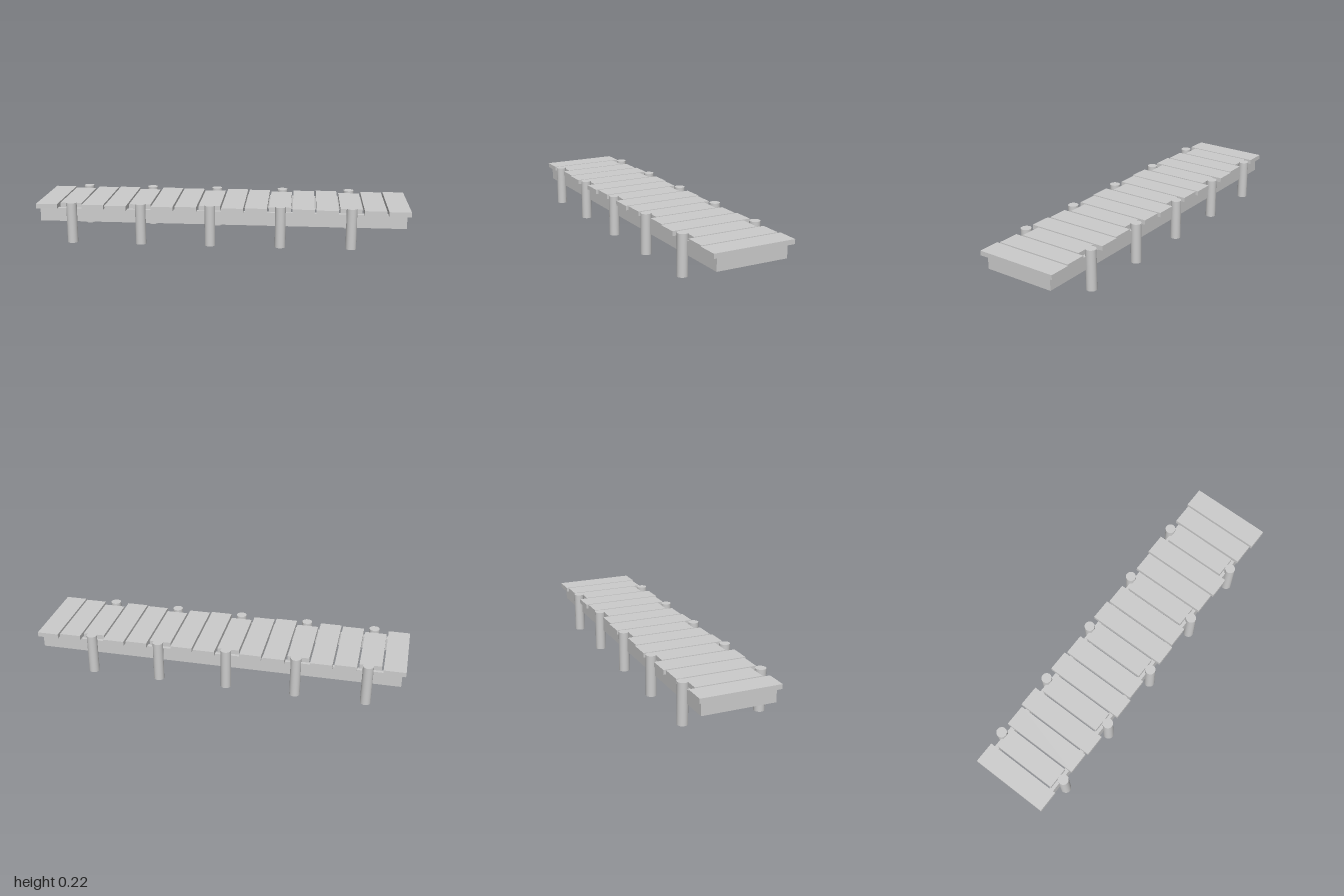
import * as THREE from 'three';

export function createModel() {
  const group = new THREE.Group();
  const wood = new THREE.MeshStandardMaterial({ color: 0xcccccc });
  wood.name = 'paleWood';

  const add = (name, geometry, x, y, z) => {
    const mesh = new THREE.Mesh(geometry, wood);
    mesh.name = name;
    mesh.position.set(x, y, z);
    group.add(mesh);
  };

  // Deck planks: short ones fit between the posts, the rest alternate in length
  const SHORT = 0.356, MEDIUM = 0.428, LONG = 0.448;
  const longPlanks = [3, 5, 8, 12, 15];
  const count = 16, width = 0.116, pitch = (2 - width) / (count - 1);
  for (let i = 0; i < count; i++) {
    const length = i % 3 === 1 ? SHORT : longPlanks.includes(i) ? LONG : MEDIUM;
    add('plank', new THREE.BoxGeometry(width, 0.025, length), -1 + width / 2 + i * pitch, 0.1965, 0);
  }

  // Open rectangular frame under the deck
  const halfX = 0.981, halfZ = 0.196, board = 0.025, height = 0.072, y = 0.148;
  for (const s of [-1, 1]) {
    add('sideBeam', new THREE.BoxGeometry(halfX * 2, height, board), 0, y, s * (halfZ - board / 2));
    add('endBeam', new THREE.BoxGeometry(board, height, (halfZ - board) * 2), s * (halfX - board / 2), y, 0);
  }

  // Five pairs of round posts
  const post = new THREE.CylinderGeometry(0.028, 0.028, 0.22, 24);
  for (let i = 0; i < 5; i++) {
    for (const s of [-1, 1]) add('post', post, -0.806 + i * 0.3745, 0.11, s * 0.207);
  }
  return group;
}
